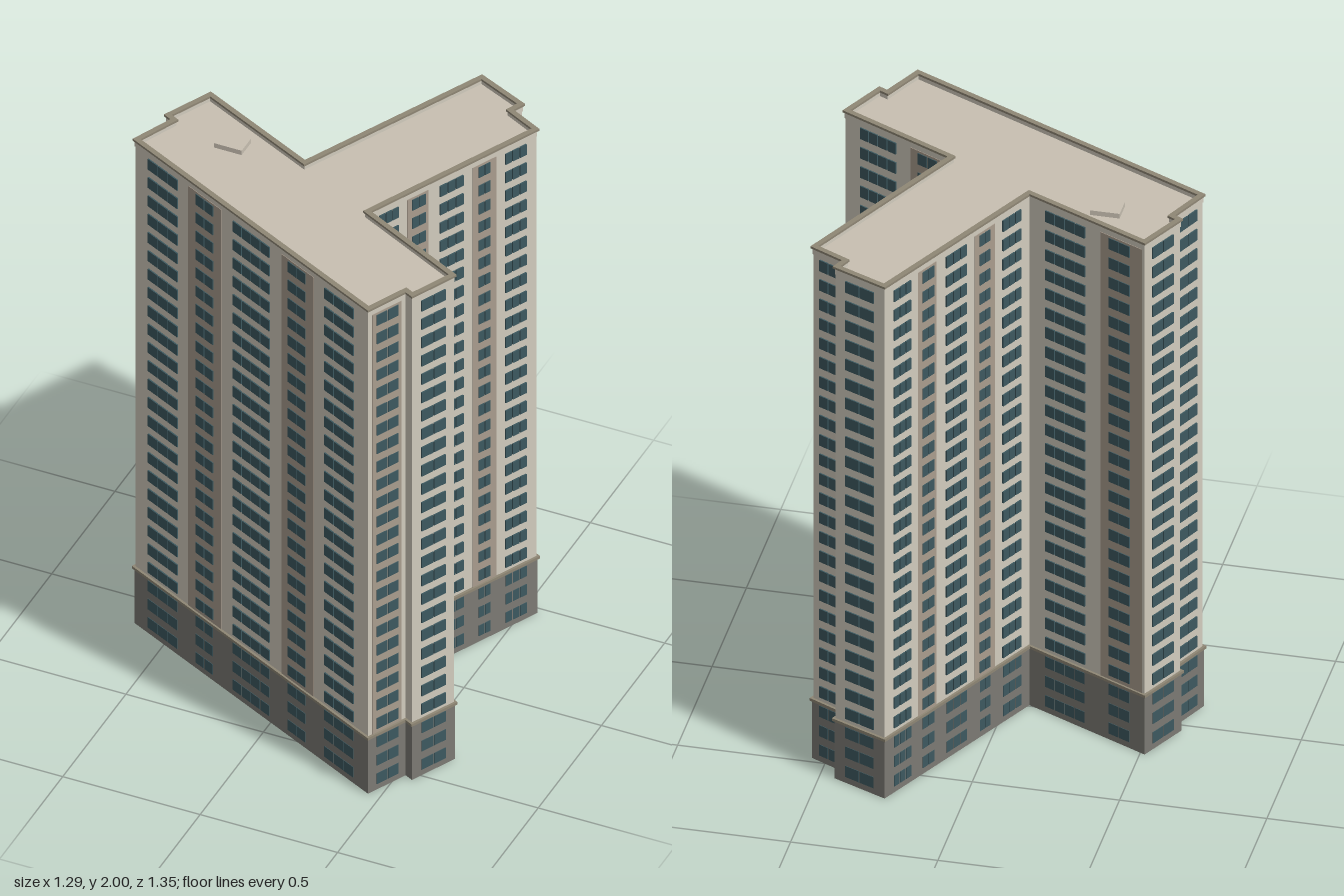
import * as THREE from 'three';
import { mergeGeometries } from 'three/addons/utils/BufferGeometryUtils.js';

// Footprint corners (x, z), walked so that the outside lies along (-dz, dx)
const PLAN = [
  [-0.635, 0.13], [0.455, 0.66], [0.525, 0.515], [0.555, 0.53], [0.633, 0.37],
  [0.23, 0.17], [0.545, -0.475], [0.425, -0.535], [0.445, -0.58], [0.26, -0.663],
  [-0.075, 0.01], [-0.515, -0.202], [-0.597, -0.035], [-0.567, -0.02],
];

// Bays per wall, as fractions along it: [start, end, panes]; strips are tan panels
const LONG = {
  windows: [[0.06, 0.18, 3], [0.255, 0.34, 2], [0.42, 0.565, 3], [0.65, 0.725, 2], [0.81, 0.94, 3]],
  strips: [[0.23, 0.355], [0.62, 0.76]],
};
const INNER = { windows: [[0.14, 0.49, 4], [0.69, 0.88, 2]], strips: [[0.62, 0.98]] };
const END = { windows: [[0.2, 0.8, 2]], strips: [] };
const WALLS = {
  0: {
    windows: [[0.055, 0.185, 3], [0.26, 0.338, 2], [0.42, 0.58, 4], [0.657, 0.735, 2], [0.813, 0.941, 3]],
    strips: [[0.228, 0.37], [0.63, 0.767]],
  },
  1: { windows: [[0.2, 0.8, 2]], strips: [[0.1, 0.88]] },
  3: END, 4: INNER, 5: LONG, 6: END, 8: END, 9: LONG, 10: INNER, 11: END, 13: END,
};

const FLOORS = 26, FIRST = 0.045, STEP = 0.0757, WINDOW_HEIGHT = 0.043;
const BASE_TOP = 0.225, ROOF = 1.975, TOP = 2;

const paint = (color) => new THREE.MeshStandardMaterial({ color, roughness: 0.9 });

function edge(i) {
  const [x, z] = PLAN[i], [x2, z2] = PLAN[(i + 1) % PLAN.length];
  const length = Math.hypot(x2 - x, z2 - z);
  return { x, z, length, dx: (x2 - x) / length, dz: (z2 - z) / length };
}

// Footprint pushed outward by d with mitred corners, as shape points (x, -z)
function outline(d) {
  return PLAN.map(([x, z], i) => {
    const a = edge((i + PLAN.length - 1) % PLAN.length), b = edge(i);
    const nx = -a.dz - b.dz, nz = a.dx + b.dx;
    const k = d / (1 + a.dx * b.dx + a.dz * b.dz);
    return new THREE.Vector2(x + nx * k, -(z + nz * k));
  });
}

// Slab between two heights; with an inner offset it becomes a ring
function slab(offset, y0, y1, inner) {
  const shape = new THREE.Shape(outline(offset));
  if (inner !== undefined) shape.holes.push(new THREE.Path(outline(inner)));
  const g = new THREE.ExtrudeGeometry(shape, { depth: y1 - y0, bevelEnabled: false });
  return g.rotateX(-Math.PI / 2).translate(0, y0, 0);
}

// Thin box lying on wall e from fraction t0 to t1, standing out by `out`
function wallBox(e, t0, t1, y0, y1, out) {
  const depth = out + 0.002;
  const g = new THREE.BoxGeometry((t1 - t0) * e.length, y1 - y0, depth);
  const along = e.length * (t0 + t1) / 2, off = out - depth / 2;
  g.rotateY(Math.atan2(-e.dz, e.dx));
  return g.translate(e.x + e.dx * along - e.dz * off, (y0 + y1) / 2, e.z + e.dz * along + e.dx * off);
}

export function createModel() {
  const model = new THREE.Group();
  const add = (name, geometry, material) => {
    const mesh = new THREE.Mesh(geometry, material);
    mesh.name = name;
    model.add(mesh);
  };
  const cream = paint(0xd2ccbe), tan = paint(0xaa9d8e), grey = paint(0x7c7a74);
  const glass = paint(0x3d5960), trim = paint(0x8f8775), roofing = paint(0xc8c0b2);

  // Main volumes
  add('base', slab(0.003, 0, BASE_TOP), grey);
  add('baseLedge', slab(0.009, BASE_TOP, BASE_TOP + 0.01), trim);
  add('walls', slab(0, BASE_TOP + 0.01, ROOF - 0.006), cream);
  add('roof', slab(0, ROOF - 0.006, ROOF), roofing);
  add('parapet', slab(0.002, ROOF - 0.006, TOP - 0.008, -0.008), cream);
  add('parapetCap', slab(0.007, TOP - 0.008, TOP, -0.012), trim);

  // Roof hatch
  const hatch = new THREE.BoxGeometry(0.1, 0.018, 0.075);
  add('roofHatch', hatch.translate(-0.343, ROOF + 0.009, -0.003), roofing);

  // Tan strips and window panes, wall by wall
  const strips = [], panes = [];
  for (const [i, wall] of Object.entries(WALLS)) {
    const e = edge(Number(i));
    for (const [t0, t1] of wall.strips) {
      strips.push(wallBox(e, t0, t1, BASE_TOP + 0.01, ROOF - 0.008, 0.002));
    }
    for (const [t0, t1, count] of wall.windows) {
      const pitch = (t1 - t0) / count, gap = 0.002 / e.length;
      for (let floor = 0; floor < FLOORS; floor++) {
        const y = FIRST + floor * STEP - WINDOW_HEIGHT / 2;
        for (let p = 0; p < count; p++) {
          const start = t0 + p * pitch;
          panes.push(wallBox(e, start + gap, start + pitch - gap, y, y + WINDOW_HEIGHT, 0.005));
        }
      }
    }
  }
  add('facadeStrips', mergeGeometries(strips), tan);
  add('windows', mergeGeometries(panes), glass);
  return model;
}
